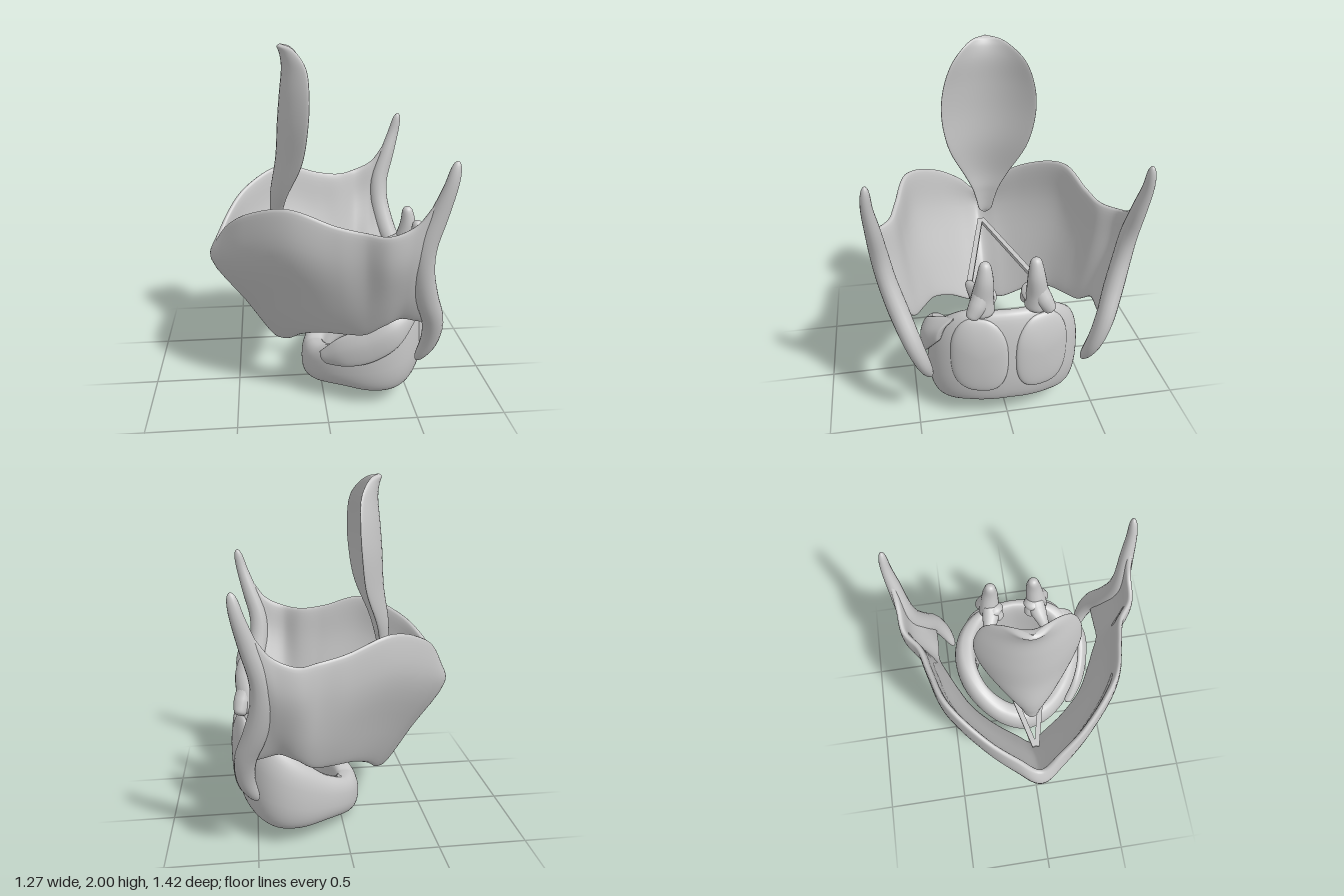
import * as THREE from 'three';
import { mergeVertices } from 'three/addons/utils/BufferGeometryUtils.js';

const cartilage = new THREE.MeshStandardMaterial({ color: 0xc8c8c8, side: THREE.DoubleSide });
cartilage.name = 'cartilage grey';

const V = (p) => new THREE.Vector3(...p);
const curve = (pts) => new THREE.CatmullRomCurve3(pts.map(V));
const spow = (a, e) => Math.sign(a) * Math.pow(Math.abs(a), e);
const flip = (pts, s) => pts.map(([x, y, z]) => [x, y, z * s]);

// Smooth closed surface from a rule fn(u, v) -> Vector3, seams welded, facing outwards
function surface(name, nu, nv, fn) {
  const pts = [], idx = [];
  for (let i = 0; i <= nu; i++)
    for (let j = 0; j <= nv; j++) pts.push(fn(i / nu, j / nv));
  for (let i = 0; i < nu; i++)
    for (let j = 0; j < nv; j++) {
      const a = i * (nv + 1) + j, b = a + nv + 1;
      idx.push(a, b, a + 1, b, b + 1, a + 1);
    }
  let volume = 0;
  const cross = new THREE.Vector3();
  for (let i = 0; i < idx.length; i += 3)
    volume += pts[idx[i]].dot(cross.crossVectors(pts[idx[i + 1]], pts[idx[i + 2]]));
  if (volume < 0) idx.reverse();
  let geo = new THREE.BufferGeometry().setFromPoints(pts);
  geo.setIndex(idx);
  geo = mergeVertices(geo, 1e-4);
  geo.computeVertexNormals();
  const mesh = new THREE.Mesh(geo, cartilage);
  mesh.name = name;
  return mesh;
}

// Tapered, round-ended tube; each point is [x, y, z, radius], flat narrows it sideways
function limb(name, pts, s, flat = 1) {
  const path = curve(flip(pts, s));
  const radii = curve(pts.map((p) => [p[3], 0, 0]));
  return surface(name, 40, 16, (u, v) => {
    const t = (1 - Math.cos(u * Math.PI)) / 2;
    const tan = path.getTangent(t);
    const side = new THREE.Vector3(0, 0, 1).cross(tan).normalize();
    const up = tan.clone().cross(side);
    const cap = Math.sqrt(Math.max(0, 1 - Math.pow(Math.abs(2 * t - 1), 14)));
    const r = radii.getPoint(t).x * cap, a = v * Math.PI * 2;
    return path.getPoint(t).addScaledVector(side, Math.cos(a) * r).addScaledVector(up, Math.sin(a) * r * flat);
  });
}

// Thick curved plate through rows of points, listed from the lower edge to the upper
function plate(name, rows, thick, nu) {
  const lines = rows.map(curve);
  const across = (t) => new THREE.CatmullRomCurve3(lines.map((l) => l.getPoint(t)));
  return surface(name, nu, 40, (u, v) => {
    const a = v * Math.PI * 2, k = (1 - Math.cos(a)) / 2;
    const d = across(Math.min(1, u + 0.01)).getPoint(k).sub(across(Math.max(0, u - 0.01)).getPoint(k));
    const n = new THREE.Vector3(-d.z, 0, d.x).normalize();
    const end = Math.pow(Math.max(0, 1 - Math.pow(Math.abs(2 * u - 1), 24)), 0.5);
    return across(u).getPoint(k).addScaledVector(n, thick * spow(Math.sin(a), 0.6) * end);
  });
}

const mirrorRow = (half) => [...flip(half.slice(1).reverse(), -1), ...half];

// Shield: two broad wings meeting in a keel, with a horn along each rear edge
function makeShield() {
  const g = new THREE.Group();
  g.name = 'shieldCartilage';
  const rows = [
    [[-0.27, 0.3, 0], [-0.21, 0.32, 0.1], [-0.13, 0.42, 0.24], [-0.02, 0.49, 0.36], [0.1, 0.51, 0.43],
      [0.2, 0.53, 0.48], [0.29, 0.6, 0.52], [0.37, 0.635, 0.515], [0.45, 0.62, 0.515], [0.54, 0.6, 0.52]],
    [[-0.41, 0.53, 0], [-0.34, 0.55, 0.12], [-0.25, 0.65, 0.26], [-0.1, 0.72, 0.4], [0.07, 0.72, 0.485],
      [0.19, 0.72, 0.53], [0.29, 0.78, 0.585], [0.38, 0.8, 0.585], [0.44, 0.82, 0.585], [0.5, 0.84, 0.595]],
    [[-0.61, 0.82, 0], [-0.535, 0.85, 0.12], [-0.4, 0.92, 0.28], [-0.19, 1, 0.455], [0.04, 0.95, 0.53],
      [0.18, 0.95, 0.57], [0.28, 0.97, 0.64], [0.38, 1, 0.65], [0.44, 1.05, 0.65], [0.47, 1.07, 0.65]],
    [[-0.585, 0.93, 0], [-0.53, 1.04, 0.12], [-0.42, 1.155, 0.28], [-0.2, 1.235, 0.465], [0.03, 1.165, 0.54],
      [0.17, 1.14, 0.58], [0.28, 1.145, 0.655], [0.4, 1.2, 0.665], [0.47, 1.29, 0.67], [0.525, 1.37, 0.678]],
  ];
  g.add(plate('shieldWings', rows.map(mirrorRow), 0.028, 144));
  for (const s of [1, -1])
    g.add(limb('shieldHorn', [[0.575, 1.515, 0.68, 0.028], [0.55, 1.4, 0.682, 0.034], [0.505, 1.25, 0.665, 0.046],
      [0.455, 1.08, 0.645, 0.055], [0.455, 0.94, 0.62, 0.058], [0.49, 0.78, 0.575, 0.062], [0.545, 0.62, 0.52, 0.058],
      [0.545, 0.47, 0.47, 0.048], [0.493, 0.33, 0.425, 0.032]], s, 0.85));
  return g;
}

// Upright leaf, hollow towards the rear
function makeLeaf() {
  // rows: height, half width, midline x
  const rows = curve([[0.922, 0.008, -0.265], [0.95, 0.036, -0.263], [1.02, 0.055, -0.262], [1.1, 0.08, -0.262],
    [1.2, 0.128, -0.258], [1.4, 0.225, -0.225], [1.6, 0.263, -0.212], [1.75, 0.25, -0.198], [1.88, 0.2, -0.185],
    [1.95, 0.135, -0.193], [1.985, 0.08, -0.207], [2, 0.005, -0.215]]);
  return surface('leafCartilage', 56, 48, (u, v) => {
    const r = rows.getPoint(u), a = v * Math.PI * 2, c = Math.cos(a);
    const t = 0.025 * Math.min(1, r.y / 0.08) * spow(Math.sin(a), 0.8);
    return new THREE.Vector3(r.z + 0.47 * r.y * c * c + t, r.x, r.y * c);
  });
}

// Signet ring: low arch in front, tall wall at the rear
function makeRing() {
  // every 30 degrees from rear to front: lower edge, upper edge, thickness
  const prof = curve([[0.17, 0.75, 0.1], [0.15, 0.74, 0.115], [0.11, 0.64, 0.135], [0.1, 0.5, 0.14],
    [0.095, 0.37, 0.135], [0.05, 0.29, 0.14], [0.005, 0.26, 0.14]]);
  return surface('ringCartilage', 96, 40, (u, v) => {
    const phi = (u * 2 - 1) * Math.PI, a = v * Math.PI * 2;
    const p = prof.getPoint(Math.abs(phi) / Math.PI);
    const h = spow(Math.sin(a), 0.7), w = spow(Math.cos(a), 0.7);
    const inset = p.z / 2 * (1 - w) + 0.015 * h * h;
    const y = (p.x + p.y) / 2 + h * (p.y - p.x) / 2;
    // the ring is widest behind its middle
    const turn = phi + 0.23 * Math.sin(phi);
    return new THREE.Vector3(0.25 + (0.365 - inset) * Math.cos(phi), y, (0.428 - inset) * Math.sin(turn));
  });
}

// Rounded pad lying on the rear wall of the ring, narrower at the top
function makePad(s) {
  return surface('rearPad', 32, 40, (u, v) => {
    const r = Math.sin(u * Math.PI), a = v * Math.PI * 2;
    const cy = spow(Math.sin(a), 0.7) * r, high = Math.max(0, cy) ** 2;
    const z = 0.17 + 0.15 * (1 - 0.2 * high) * spow(Math.cos(a), 0.7) * r;
    const x = 0.25 + 0.357 * Math.sqrt(1 - (z / 0.5) ** 2) - 0.03 * high;
    return new THREE.Vector3(x + 0.035 * spow(Math.cos(u * Math.PI), 0.6), 0.495 + 0.225 * cy, z * s);
  });
}

// Small pronged cartilage standing on the rear wall
function makePyramid(s) {
  const g = new THREE.Group();
  g.name = 'pyramidCartilage';
  g.add(
    limb('pyramidApex', [[0.52, 0.73, 0.15, 0.075], [0.53, 0.83, 0.145, 0.06], [0.545, 0.94, 0.135, 0.047], [0.535, 1.045, 0.13, 0.028]], s),
    limb('frontProng', [[0.3, 0.785, 0.188, 0.02], [0.38, 0.785, 0.17, 0.036], [0.46, 0.8, 0.15, 0.052], [0.53, 0.84, 0.142, 0.05]], s),
    limb('sideProng', [[0.53, 0.89, 0.14, 0.045], [0.555, 0.81, 0.17, 0.048], [0.575, 0.735, 0.215, 0.032]], s),
    limb('innerProng', [[0.52, 0.84, 0.14, 0.045], [0.48, 0.79, 0.115, 0.045], [0.46, 0.745, 0.09, 0.03]], s));
  return g;
}

// Flat straight band from the keel to a pyramid
function makeBand(s) {
  const a = V([-0.41, 0.79, 0.005 * s]), b = V([0.33, 0.785, 0.185 * s]);
  const mesh = new THREE.Mesh(new THREE.BoxGeometry(0.03, 0.022, a.distanceTo(b)), cartilage);
  mesh.position.copy(a).add(b).multiplyScalar(0.5);
  mesh.lookAt(b);
  mesh.name = 'vocalBand';
  return mesh;
}

export function createModel() {
  const model = new THREE.Group();
  model.name = 'larynx';
  model.add(makeShield(), makeLeaf(), makeRing());
  for (const s of [1, -1]) model.add(makePad(s), makePyramid(s), makeBand(s));
  // Muscle strap on the left flank of the ring only
  model.add(plate('sideMuscle', [
    [[0.01, 0.26, 0.3], [0.12, 0.285, 0.385], [0.25, 0.33, 0.425], [0.38, 0.42, 0.435], [0.49, 0.56, 0.37]],
    [[-0.02, 0.29, 0.285], [0.09, 0.375, 0.37], [0.22, 0.44, 0.42], [0.36, 0.53, 0.43], [0.5, 0.635, 0.345]],
    [[-0.03, 0.32, 0.27], [0.07, 0.44, 0.345], [0.2, 0.52, 0.395], [0.34, 0.61, 0.4], [0.5, 0.7, 0.28]]], 0.027, 48));
  return model;
}
